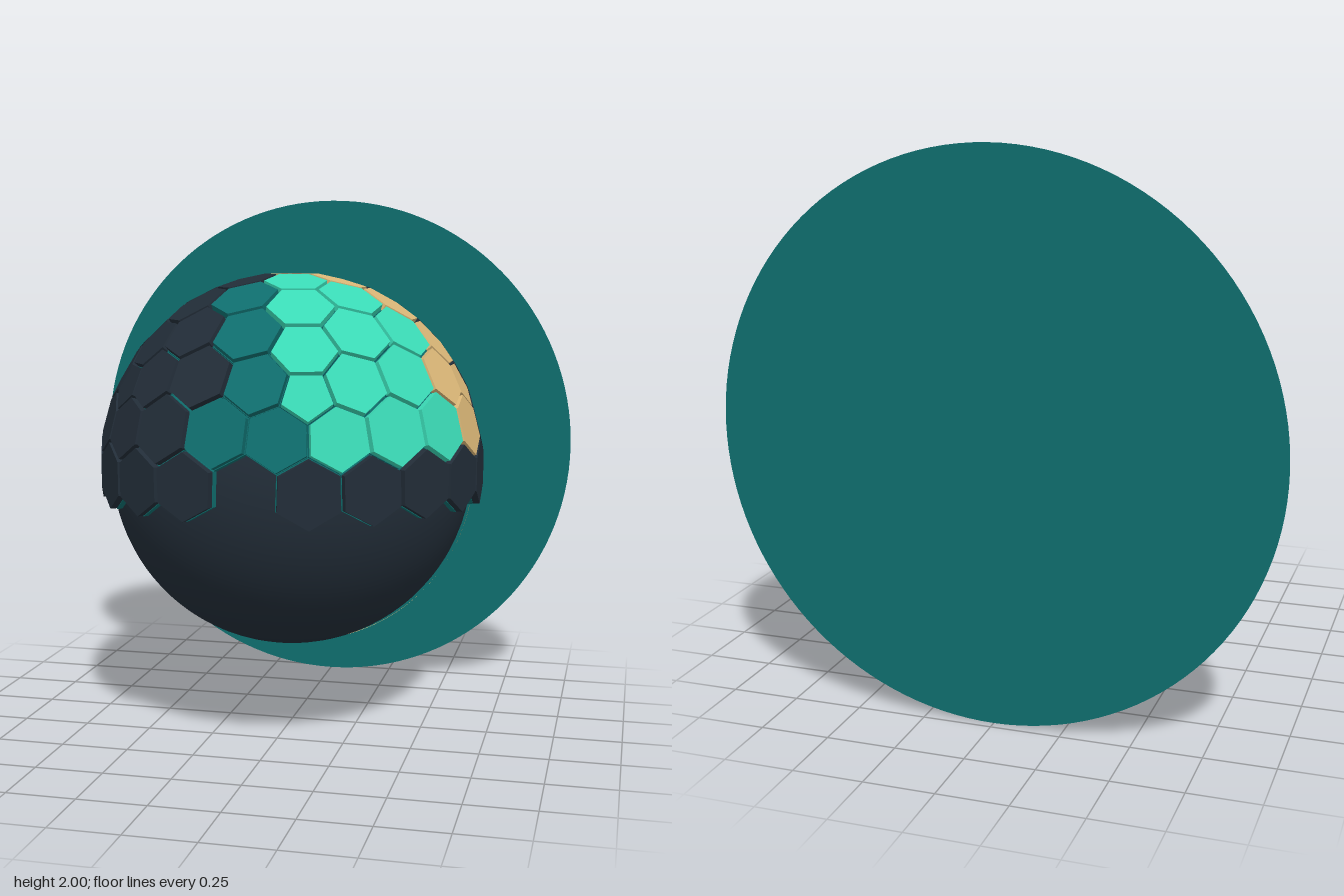
import * as THREE from 'three';
import { mergeGeometries } from 'three/addons/utils/BufferGeometryUtils.js';

const CORE = 0.675, FACE = 0.71;
const rad = THREE.MathUtils.degToRad;

// Geodesic sphere with a corner at the pole and one toward +x; its dual gives the tiles.
function tileCells() {
  const verts = [0, 1, 0], faces = [];
  const ring = (start, y) => {
    for (let i = 0; i < 5; i++) {
      const a = rad(start + i * 72), r = Math.sqrt(1 - y * y);
      verts.push(r * Math.cos(a), y, r * Math.sin(a));
    }
  };
  ring(0, Math.sqrt(0.2));
  ring(36, -Math.sqrt(0.2));
  verts.push(0, -1, 0);
  for (let i = 0; i < 5; i++) {
    const j = (i + 1) % 5, u = 1 + i, u2 = 1 + j, l = 6 + i, l2 = 6 + j;
    faces.push(0, u2, u, u, u2, l, u2, l2, l, l, l2, 11);
  }
  const pos = new THREE.PolyhedronGeometry(verts, faces, 1, 3).attributes.position;
  const cells = new Map();
  for (let t = 0; t < pos.count; t += 3) {
    const tri = [0, 1, 2].map(k => new THREE.Vector3().fromBufferAttribute(pos, t + k));
    const mid = new THREE.Vector3().add(tri[0]).add(tri[1]).add(tri[2]).normalize();
    for (const p of tri) {
      const key = p.toArray().map(c => Math.round(c * 1000)).join();
      if (!cells.has(key)) cells.set(key, { dir: p.clone().normalize(), corners: [] });
      cells.get(key).corners.push(mid);
    }
  }
  return [...cells.values()];
}

// Flat polygonal prism whose outer face lies at the given distance from the centre.
function tileGeometry({ dir, corners }, outer, depth, scale) {
  const helper = Math.abs(dir.y) > 0.9 ? new THREE.Vector3(1, 0, 0) : new THREE.Vector3(0, 1, 0);
  const u = new THREE.Vector3().crossVectors(helper, dir).normalize();
  const v = new THREE.Vector3().crossVectors(dir, u);
  const pts = corners.map(c => {
    const k = FACE * scale / c.dot(dir);
    return new THREE.Vector2(c.dot(u) * k, c.dot(v) * k);
  }).sort((a, b) => Math.atan2(a.y, a.x) - Math.atan2(b.y, b.x));
  const geo = new THREE.ExtrudeGeometry(new THREE.Shape(pts), { depth, bevelEnabled: false });
  geo.translate(0, 0, outer - depth);
  return geo.applyMatrix4(new THREE.Matrix4().makeBasis(u, v, dir));
}

// Largest azimuth of each colour, row by row from the pole down.
const GOLD_MAX = [360, 3, 3, 3, 22, 13];
const TEAL_MAX = [0, 0, 112, 102, 96, 106];

function tileColour(row, az) {
  if (row > 5) return 'dark';
  if (az <= GOLD_MAX[row]) return 'gold';
  if (az <= 74) return 'mint';
  return az <= TEAL_MAX[row] ? 'teal' : 'dark';
}

export function createModel() {
  const mat = (name, color, side = THREE.FrontSide) => {
    const m = new THREE.MeshStandardMaterial({ color, side });
    m.name = name;
    return m;
  };
  const mats = {
    dark: mat('dark slate', 0x222d38),
    teal: mat('deep teal', 0x0f6e6e, THREE.DoubleSide),
    mint: mat('bright mint', 0x3ad9b5),
    gold: mat('pale gold', 0xdcb878, THREE.DoubleSide),
  };
  const model = new THREE.Group();
  model.name = 'tiledGlobe';
  const add = (name, geo, material, z = 0.01) => {
    const mesh = new THREE.Mesh(geo, material);
    mesh.name = name;
    mesh.position.set(0, 1, z);
    model.add(mesh);
  };

  // Smooth core, backing disc and the thin seam band
  add('core', new THREE.SphereGeometry(CORE, 64, 48), mats.dark);
  add('backDisc', new THREE.CircleGeometry(1, 128), mats.teal, -0.718);
  const band = new THREE.CylinderGeometry(0.686, 0.686, 0.008, 128, 1, true);
  add('seamBand', band.rotateX(Math.PI / 2), mats.gold);

  // Raised tiles on the upper half, with a thin teal rim beneath each
  const tiles = { dark: [], teal: [], mint: [], gold: [] }, rims = [];
  for (const cell of tileCells()) {
    const { dir } = cell;
    if (dir.y < -0.01) continue;
    const row = Math.round(Math.acos(Math.min(1, dir.y)) / rad(15.86));
    const az = (THREE.MathUtils.radToDeg(Math.atan2(dir.z, dir.x)) + 361) % 360 - 1;
    // two openings in the lowest row
    if (row === 6 && (Math.abs(az - 90) < 3 || Math.abs(az - 342) < 3)) continue;
    tiles[tileColour(row, az)].push(tileGeometry(cell, FACE, 0.045, 0.93));
    rims.push(tileGeometry(cell, 0.685, 0.02, 0.952));
  }
  for (const key in tiles) add(key + 'Tiles', mergeGeometries(tiles[key]), mats[key]);
  add('tileRims', mergeGeometries(rims), mats.teal);
  return model;
}
